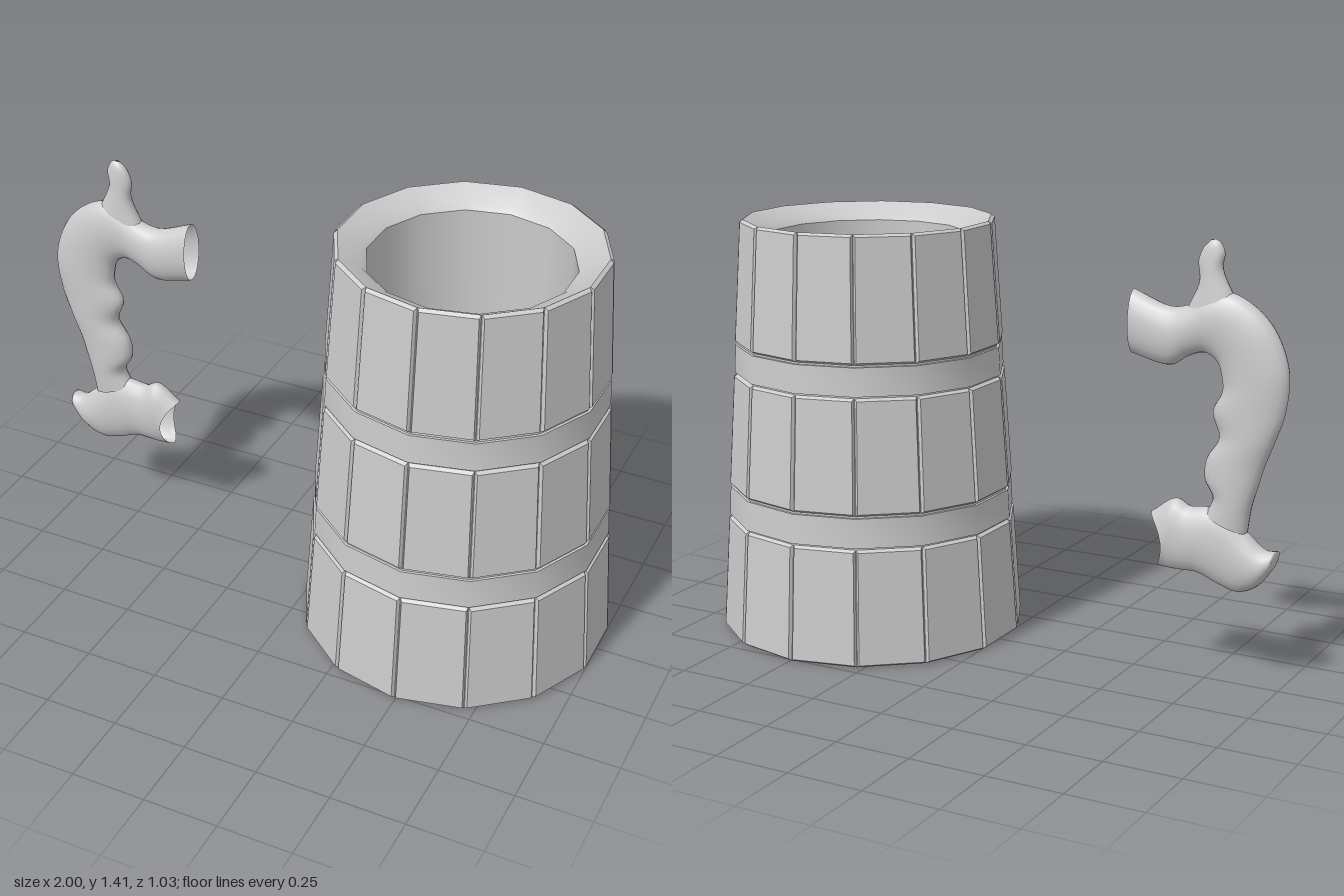
import * as THREE from 'three';
import { toCreasedNormals } from 'three/addons/utils/BufferGeometryUtils.js';

const SIDES = 14;
const HALF = Math.PI / SIDES;
const BEVEL = 0.012;
const material = new THREE.MeshStandardMaterial({ color: 0xcccccc });
const openMaterial = new THREE.MeshStandardMaterial({ color: 0xcccccc, side: THREE.DoubleSide });

// Outer corner radius of the tapering cup at a height
const radiusAt = (y) => 0.519 - 0.0655 * y;

function addMesh(parent, name, geometry, mat = material) {
  const mesh = new THREE.Mesh(geometry, mat);
  mesh.name = name;
  parent.add(mesh);
  return mesh;
}

// One plank: a tapering box with a bevelled outer face
function staveGeometry(y0, y1) {
  const geometry = new THREE.BoxGeometry(1, 1, 1).toNonIndexed();
  const p = geometry.attributes.position;
  for (let i = 0; i < p.count; i++) {
    const side = Math.sign(p.getX(i));
    const up = p.getY(i) > 0;
    const front = p.getZ(i) > 0;
    const edge = up ? y1 : y0;
    const y = front ? edge + (up ? -0.008 : 0.008) : edge;
    const r = radiusAt(edge) - (front ? 0 : BEVEL);
    const half = r * Math.sin(HALF) - (front ? 0.008 : 0.001);
    p.setXYZ(i, side * half, y, r * Math.cos(HALF));
  }
  geometry.computeVertexNormals();
  return geometry;
}

function lathe(profile) {
  const points = profile.map(([r, y]) => new THREE.Vector2(r, y));
  return toCreasedNormals(new THREE.LatheGeometry(points, SIDES), 0.6);
}

// Smooth skin over oval sections; each row is [ax, ay, bx, by, halfDepth].
// bend hollows out the last section along x.
function loft(rows, { steps = 5, around = 20, bend = 0, cap = false } = {}) {
  const a = new THREE.CatmullRomCurve3(rows.map((r) => new THREE.Vector3(r[0], r[1], r[4])));
  const b = new THREE.CatmullRomCurve3(rows.map((r) => new THREE.Vector3(r[2], r[3], r[4])));
  const count = (rows.length - 1) * steps;
  const positions = [];
  const index = [];
  for (let i = 0; i <= count; i++) {
    const p = a.getPoint(i / count);
    const q = b.getPoint(i / count);
    const hollow = bend * Math.max(0, 1 - (count - i) / steps);
    for (let j = 0; j < around; j++) {
      const t = (j / around) * Math.PI * 2;
      const k = 0.5 + 0.5 * Math.cos(t);
      positions.push(
        q.x + (p.x - q.x) * k - hollow * Math.sin(t) ** 2,
        q.y + (p.y - q.y) * k,
        Math.sin(t) * p.z
      );
      if (i < count) {
        const n = (j + 1) % around;
        const v = i * around;
        index.push(v + j, v + around + j, v + n, v + n, v + around + j, v + around + n);
      }
    }
  }
  // Closed start
  if (cap) {
    const centre = positions.length / 3;
    const r = rows[0];
    positions.push((r[0] + r[2]) / 2, (r[1] + r[3]) / 2, 0);
    for (let j = 0; j < around; j++) index.push(centre, j, (j + 1) % around);
  }
  const geometry = new THREE.BufferGeometry();
  geometry.setAttribute('position', new THREE.Float32BufferAttribute(positions, 3));
  geometry.setIndex(index);
  geometry.computeVertexNormals();
  return geometry;
}

function createCup() {
  const cup = new THREE.Group();
  cup.name = 'cup';

  // Inner vessel: underside, wall behind the planks, sloping rim, inside wall and floor
  addMesh(cup, 'vessel', lathe([
    [0, 0], [radiusAt(0) - BEVEL, 0], [radiusAt(1.4) - BEVEL, 1.4],
    [0.342, 1.36], [0.325, 1.345], [0.325, 0.06], [0, 0.06],
  ]));

  // Three tiers of planks
  const tiers = [['lower', 0, 0.39], ['middle', 0.5, 0.882], ['upper', 0.988, 1.4]];
  for (const [name, y0, y1] of tiers) {
    const tier = new THREE.Group();
    tier.name = `${name}Staves`;
    const geometry = staveGeometry(y0, y1);
    for (let k = 0; k < SIDES; k++) {
      addMesh(tier, 'stave', geometry).rotation.y = (2 * k + 1) * HALF;
    }
    cup.add(tier);
  }

  // Smooth hoops between the tiers
  for (const [y0, y1] of [[0.396, 0.494], [0.888, 0.982]]) {
    addMesh(cup, 'hoop', lathe([
      [radiusAt(y0) - 0.02, y0], [radiusAt(y0) - 0.004, y0],
      [radiusAt(y1) - 0.003, y1], [radiusAt(y1) - 0.02, y1],
    ]));
  }
  cup.position.x = 0.495;
  return cup;
}

function createHandle() {
  const handle = new THREE.Group();
  handle.name = 'handle';

  // Open upper arm curving down into the finger grip
  addMesh(handle, 'grip', loft([
    [-0.48, 1.24, -0.48, 1.035, 0.05],
    [-0.61, 1.195, -0.61, 1.01, 0.05],
    [-0.68, 1.21, -0.67, 1.045, 0.05],
    [-0.75, 1.25, -0.72, 1.06, 0.05],
    [-0.82, 1.25, -0.75, 1.05, 0.05],
    [-0.9, 1.205, -0.77, 1.03, 0.05],
    [-0.96, 1.135, -0.78, 1.0, 0.05],
    [-1.0, 1.02, -0.785, 0.945, 0.05],
    [-0.99, 0.89, -0.755, 0.88, 0.05],
    [-0.96, 0.8, -0.78, 0.8, 0.05],
    [-0.93, 0.72, -0.74, 0.73, 0.05],
    [-0.91, 0.65, -0.735, 0.665, 0.05],
    [-0.89, 0.58, -0.765, 0.605, 0.048],
    [-0.88, 0.5, -0.74, 0.55, 0.045],
  ]), openMaterial);

  // Foot with a rounded heel and an open hollow end
  addMesh(handle, 'foot', loft([
    [-0.98, 0.457, -0.968, 0.398, 0.035],
    [-0.94, 0.457, -0.925, 0.34, 0.045],
    [-0.88, 0.505, -0.86, 0.307, 0.05],
    [-0.81, 0.57, -0.79, 0.323, 0.05],
    [-0.74, 0.57, -0.72, 0.35, 0.05],
    [-0.685, 0.565, -0.67, 0.35, 0.05],
    [-0.64, 0.585, -0.62, 0.35, 0.05],
    [-0.555, 0.53, -0.58, 0.355, 0.05],
  ], { bend: 0.04, cap: true }), openMaterial);

  // Thumb rest
  addMesh(handle, 'thumbRest', loft([
    [-0.82, 1.23, -0.66, 1.19, 0.038],
    [-0.775, 1.325, -0.7, 1.28, 0.028],
    [-0.78, 1.375, -0.695, 1.345, 0.022],
    [-0.765, 1.405, -0.71, 1.385, 0.015],
    [-0.75, 1.413, -0.735, 1.411, 0.004],
  ]), openMaterial);
  return handle;
}

export function createModel() {
  const model = new THREE.Group();
  model.name = 'tankard';
  model.add(createCup(), createHandle());
  return model;
}
